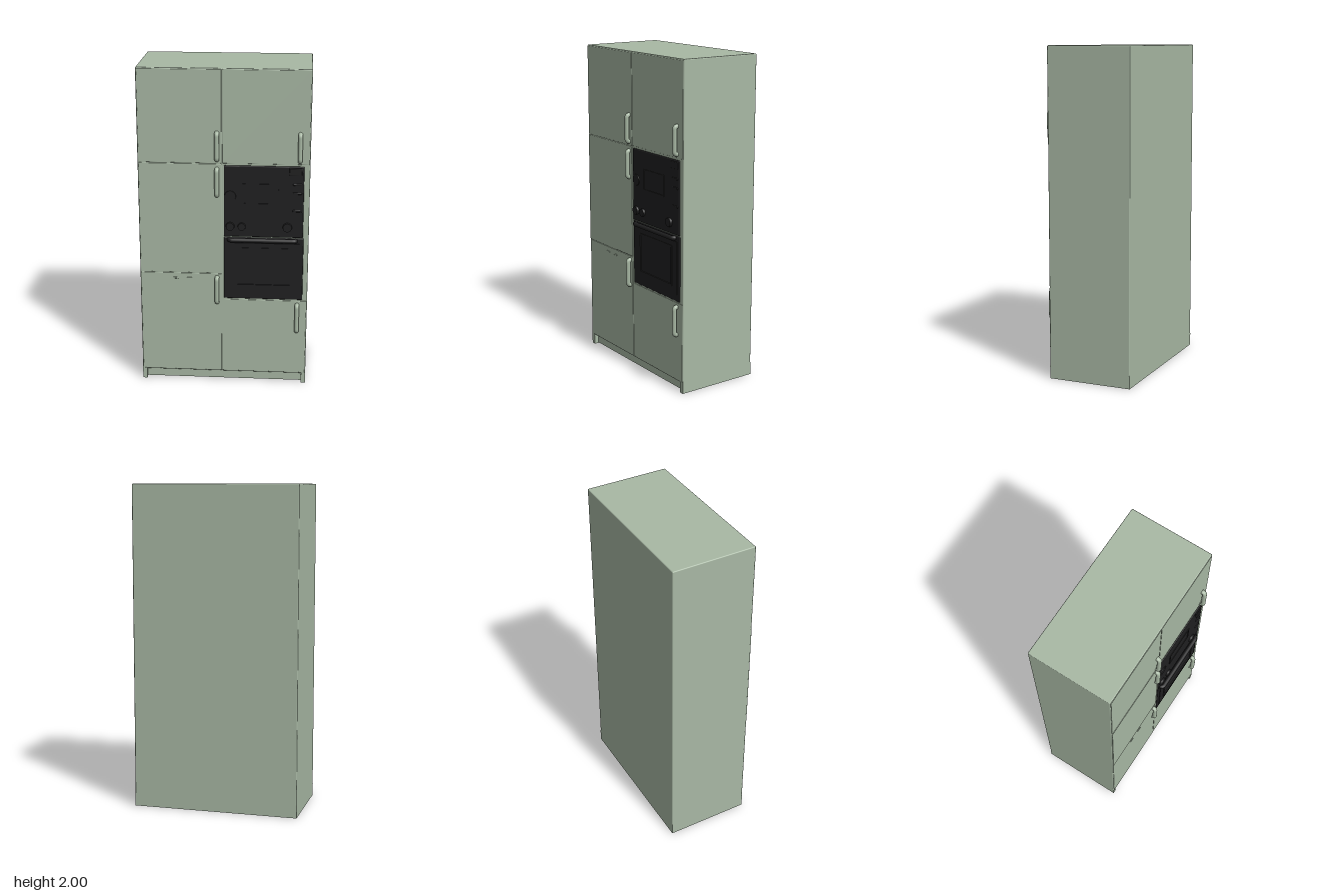
import * as THREE from 'three';
import { RoundedBoxGeometry } from 'three/addons/geometries/RoundedBoxGeometry.js';

export function createModel() {
  const root = new THREE.Group();
  root.name = 'ovenCabinet';
  const green = new THREE.MeshStandardMaterial({ color: 0xa8b8a4 });
  green.name = 'sageGreen';
  const black = new THREE.MeshStandardMaterial({ color: 0x202021 });
  black.name = 'applianceBlack';

  const add = (parent, name, geometry, material) => {
    const mesh = new THREE.Mesh(geometry, material);
    mesh.name = name;
    parent.add(mesh);
    return mesh;
  };
  // Box given by its limits; r > 0 rounds the edges
  const box = (parent, name, mat, x0, x1, y0, y1, z0, z1, r = 0) => {
    const size = [x1 - x0, y1 - y0, z1 - z0];
    const geo = r ? new RoundedBoxGeometry(...size, 3, r) : new THREE.BoxGeometry(...size);
    const mesh = add(parent, name, geo, mat);
    mesh.position.set((x0 + x1) / 2, (y0 + y1) / 2, (z0 + z1) / 2);
    return mesh;
  };
  // Bow handle: a bar whose two ends curve back into the front
  const handle = (parent, name, mat, length, r, z) => {
    const h = length / 2 - r, back = 0.236;
    const path = new THREE.CurvePath();
    const v = (y, zz) => new THREE.Vector3(0, y, zz);
    const b = 0.018;
    path.add(new THREE.LineCurve3(v(-h, back), v(-h, z - b)));
    path.add(new THREE.QuadraticBezierCurve3(v(-h, z - b), v(-h, z), v(-h + b, z)));
    path.add(new THREE.LineCurve3(v(-h + b, z), v(h - b, z)));
    path.add(new THREE.QuadraticBezierCurve3(v(h - b, z), v(h, z), v(h, z - b)));
    path.add(new THREE.LineCurve3(v(h, z - b), v(h, back)));
    return add(parent, name, new THREE.TubeGeometry(path, 72, r, 14), mat);
  };

  // Carcass, with a hollow base below it
  const carcass = new THREE.Group();
  carcass.name = 'carcass';
  root.add(carcass);
  box(carcass, 'body', green, -0.515, 0.515, 0.066, 2, -0.28, 0.244, 0.006);
  for (const s of [-1, 1]) {
    const [a, b] = [s * 0.515, s * 0.488].sort((p, q) => p - q);
    box(carcass, 'sideFoot', green, a, b, 0, 0.08, -0.28, 0.244);
  }
  box(carcass, 'backRail', green, -0.488, 0.488, 0, 0.08, -0.28, -0.255);
  box(carcass, 'kickPlate', green, -0.488, 0.488, 0.004, 0.08, 0.19, 0.215);

  // Doors: three on the right column, two around the appliances
  const doors = new THREE.Group();
  doors.name = 'doors';
  root.add(doors);
  const doorRows = [
    [-0.51, -0.012, 1.432, 1.994, 0.247],
    [-0.51, -0.012, 0.732, 1.428, 0.249],
    [-0.51, -0.012, 0.072, 0.728, 0.247],
    [-0.008, 0.51, 1.432, 1.994, 0.246],
    [-0.008, 0.51, 0.072, 0.56, 0.246],
  ];
  for (const [x0, x1, y0, y1, z] of doorRows) box(doors, 'door', green, x0, x1, y0, y1, 0.238, z, 0.002);
  for (const x of [-0.295, -0.21]) box(doors, 'doorCatch', green, x - 0.016, x + 0.016, 0.69, 0.7, 0.24, 0.2495, 0.002);

  const handles = [[-0.04, 1.535, 0.19], [-0.04, 1.315, 0.19], [-0.04, 0.622, 0.19], [0.453, 1.535, 0.19], [0.453, 0.447, 0.2]];
  for (const [x, y, length] of handles) handle(root, 'doorHandle', green, length, 0.014, 0.264).position.set(x, y, 0);

  // Four raised bars around a rectangle
  const frame = (parent, name, x0, x1, y0, y1, t, z) => {
    box(parent, name, black, x0, x1, y1 - t, y1, 0.24, z);
    box(parent, name, black, x0, x1, y0, y0 + t, 0.24, z);
    box(parent, name, black, x0, x0 + t, y0 + t, y1 - t, 0.24, z);
    box(parent, name, black, x1 - t, x1, y0 + t, y1 - t, 0.24, z);
  };
  // Round control facing the front
  const knob = (parent, name, x, y, r, z) => {
    const mesh = add(parent, name, new THREE.CylinderGeometry(r * 0.88, r, z - 0.24, 28), black);
    mesh.rotation.x = Math.PI / 2;
    mesh.position.set(x, y, (z + 0.24) / 2);
  };

  // Upper appliance
  const microwave = new THREE.Group();
  microwave.name = 'microwave';
  root.add(microwave);
  box(microwave, 'microwaveFront', black, 0.002, 0.48, 0.974, 1.42, 0.2, 0.251, 0.006);
  frame(microwave, 'microwaveWindowFrame', 0.115, 0.33, 1.18, 1.31, 0.008, 0.255);
  knob(microwave, 'timerDial', 0.04, 1.23, 0.038, 0.255);
  box(microwave, 'display', black, 0.392, 0.468, 1.368, 1.41, 0.245, 0.255, 0.003);
  for (const y of [1.31, 1.255, 1.145]) box(microwave, 'button', black, 0.415, 0.468, y - 0.006, y + 0.006, 0.245, 0.255, 0.003);
  for (const [x, r] of [[0.04, 0.028], [0.11, 0.026], [0.385, 0.03]]) knob(microwave, 'ovenKnob', x, 1.04, r, 0.264);

  // Lower appliance
  const oven = new THREE.Group();
  oven.name = 'oven';
  root.add(oven);
  box(oven, 'ovenDoor', black, 0.002, 0.485, 0.568, 0.97, 0.2, 0.249, 0.006);
  frame(oven, 'ovenWindowFrame', 0.03, 0.46, 0.61, 0.935, 0.045, 0.253);
  frame(oven, 'ovenWindowTrim', 0.075, 0.415, 0.655, 0.905, 0.01, 0.256);
  const bar = handle(oven, 'ovenHandle', black, 0.43, 0.014, 0.264);
  bar.rotation.z = -Math.PI / 2;
  bar.position.set(0.235, 0.955, 0);

  return root;
}
